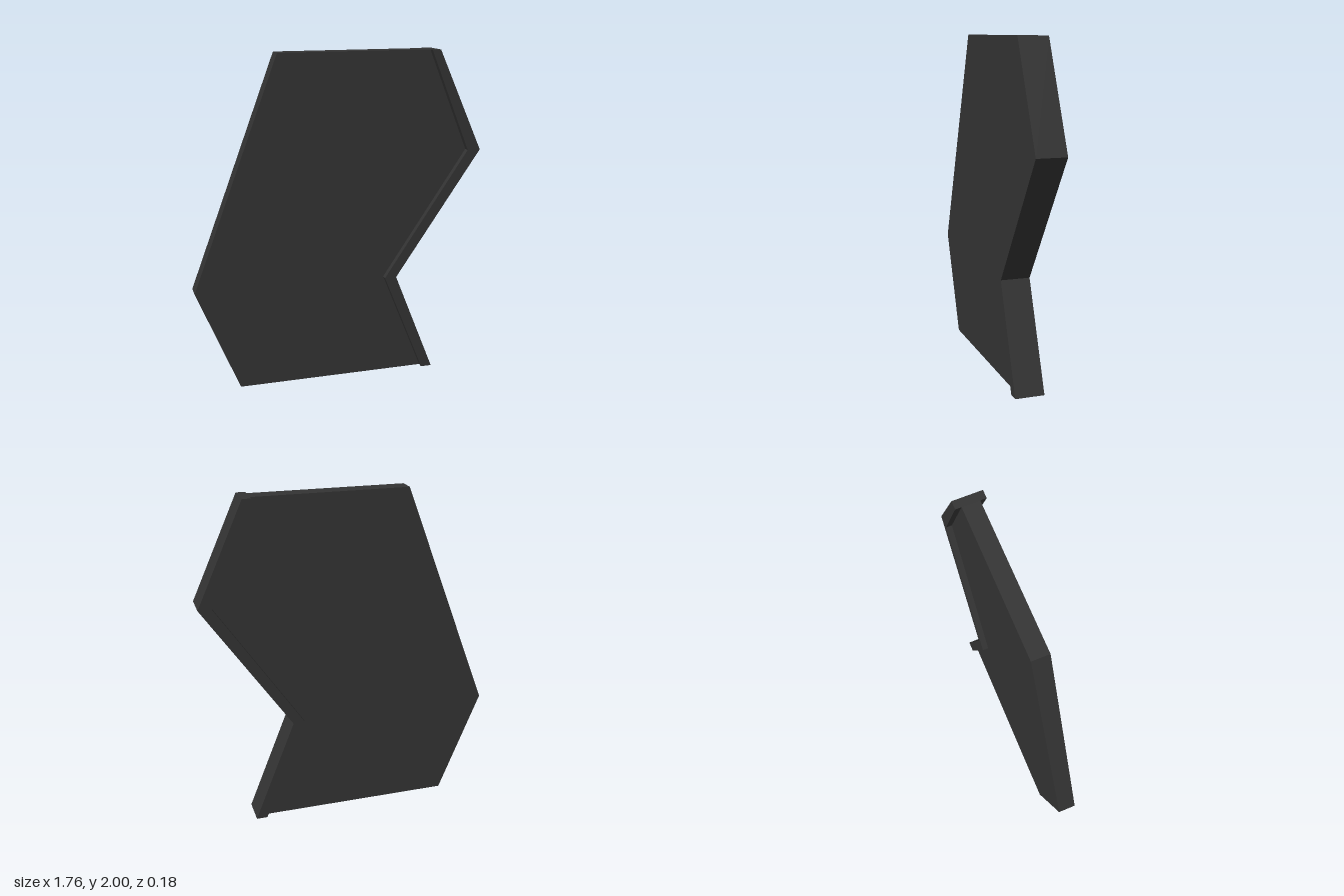
import * as THREE from 'three';

const charcoal = new THREE.MeshStandardMaterial({ color: 0x333333 });
charcoal.name = 'charcoal';

// Flat outline extruded to a plate centred on z = 0
function plate(name, outline, depth) {
  const shape = new THREE.Shape(outline.map(([x, y]) => new THREE.Vector2(x, y)));
  const geometry = new THREE.ExtrudeGeometry(shape, { depth, bevelEnabled: false });
  geometry.translate(0, 0, -depth / 2);
  const mesh = new THREE.Mesh(geometry, charcoal);
  mesh.name = name;
  return mesh;
}

export function createModel() {
  const group = new THREE.Group();
  group.name = 'edgedPanel';

  // Zigzag edge lines, bottom to top
  const outer = [[0.6, 0], [0.352, 0.622], [0.88, 1.394], [0.606, 2]];
  const inner = [[0.534, 0], [0.28, 0.622], [0.8, 1.394], [0.553, 2]];

  // Thin panel, ending at the inside of the edge strip
  group.add(plate('panel', [[-0.627, 0], ...inner, [-0.367, 2], [-0.883, 0.622]], 0.104));

  // Thicker strip along the zigzag edge
  group.add(plate('edgeStrip', [...outer, ...inner.slice().reverse()], 0.176));

  return group;
}
